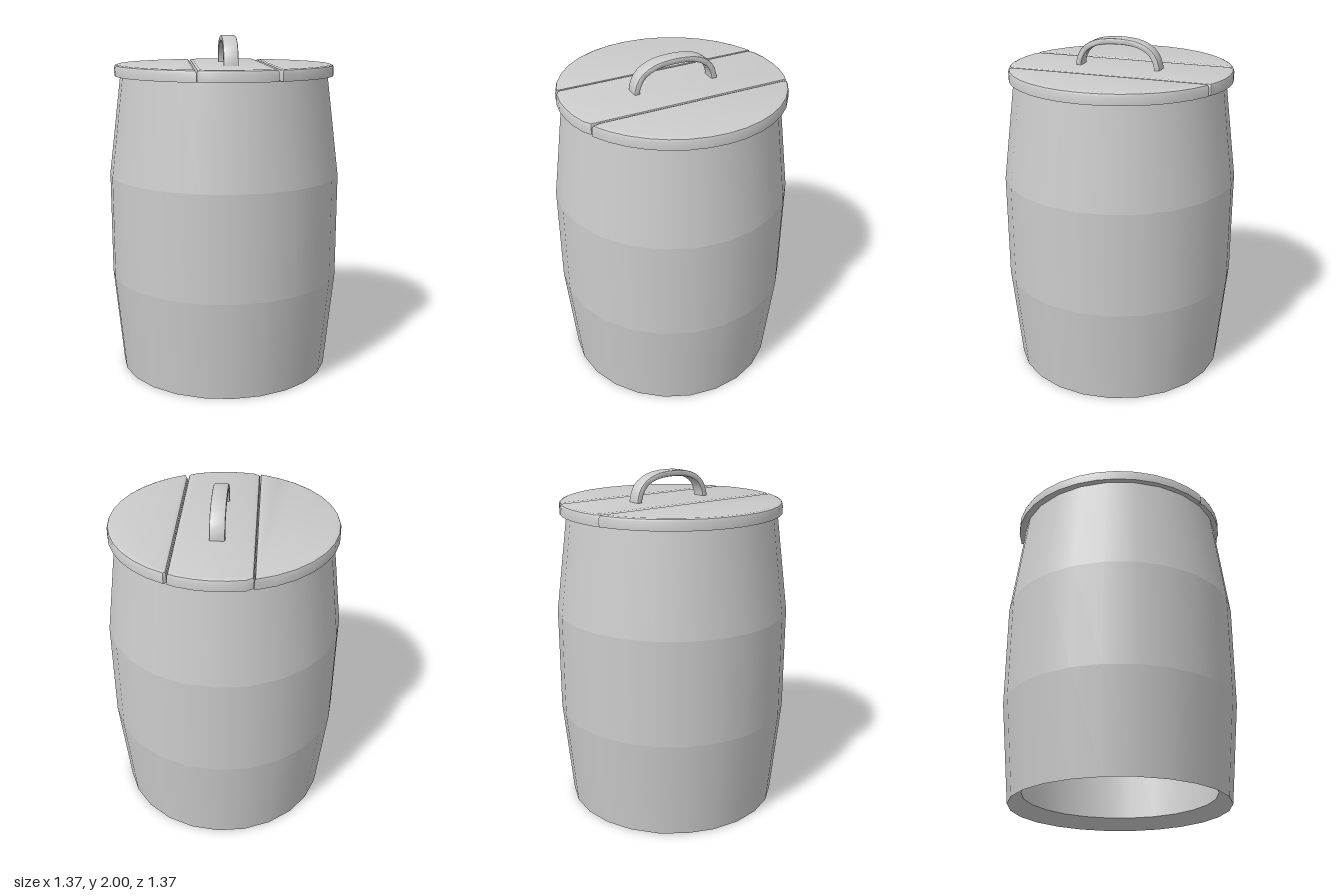
import * as THREE from 'three';
import { mergeGeometries, toCreasedNormals } from 'three/addons/utils/BufferGeometryUtils.js';

const material = new THREE.MeshStandardMaterial({ color: 0xcccccc });

function addMesh(parent, name, geometry) {
  const mesh = new THREE.Mesh(geometry, material);
  mesh.name = name;
  parent.add(mesh);
}

// Hollow body: closed [radius, y] profile, smooth around, creased between bands
function bodyGeometry() {
  const profile = [
    [0.63, 0], [0.685, 0.58], [0.685, 1.19], [0.61, 1.775],
    [0.55, 1.765], [0.62, 1.19], [0.62, 0.58], [0.555, 0.065],
  ].map(([r, y]) => new THREE.Vector2(r, y));
  const bands = profile.map((p, i) =>
    new THREE.LatheGeometry([p, profile[(i + 1) % profile.length]], 24));
  return mergeGeometries(bands);
}

// Lid board: outline in (x, -z), square underside, bevelled top edge
function plankGeometry(outline) {
  const bevel = 0.018;
  const geometry = new THREE.ExtrudeGeometry(new THREE.Shape(outline), {
    depth: 0.065 - bevel, bevelThickness: bevel, bevelSize: bevel,
    bevelOffset: -bevel, bevelSegments: 2,
  });
  const pos = geometry.attributes.position;
  for (let i = 0; i < pos.count; i++) pos.setZ(i, Math.max(0, pos.getZ(i)));
  geometry.rotateX(-Math.PI / 2).translate(0, 1.77, 0);
  return toCreasedNormals(geometry, 0.6);
}

// Points on a circle between two angles
function arc(radius, from, to, steps, cy = 0.008) {
  return Array.from({ length: steps + 1 }, (_, i) => {
    const a = from + (to - from) * i / steps;
    return new THREE.Vector2(radius * Math.cos(a), cy + radius * Math.sin(a));
  });
}

// Arched handle: a ribbon around a curve, extruded across its width
function handleGeometry() {
  const half = [[0.236, 1.82], [0.232, 1.865], [0.2, 1.925], [0.13, 1.967], [0, 1.983]];
  const points = [...half, ...half.slice(0, -1).reverse().map(([x, y]) => [-x, y])];
  const curve = new THREE.CatmullRomCurve3(points.map(([x, y]) => new THREE.Vector3(x, y, 0)));
  const side = (offset) => Array.from({ length: 21 }, (_, i) => {
    const p = curve.getPointAt(i / 20), t = curve.getTangentAt(i / 20);
    return new THREE.Vector2(p.x + t.y * offset, p.y - t.x * offset);
  });
  const bevel = 0.008, width = 0.085;
  const geometry = new THREE.ExtrudeGeometry(
    new THREE.Shape([...side(-0.017), ...side(0.017).reverse()]), {
      depth: width - 2 * bevel, bevelThickness: bevel, bevelSize: bevel,
      bevelOffset: -bevel, bevelSegments: 2,
    });
  geometry.rotateY(Math.PI / 2).translate(-0.02 + bevel, 0, -0.005);
  return toCreasedNormals(geometry, 0.7);
}

export function createModel() {
  const model = new THREE.Group();
  model.name = 'barrel';
  addMesh(model, 'barrelBody', bodyGeometry());

  // Lid of three slightly uneven boards
  const lid = new THREE.Group();
  lid.name = 'lid';
  model.add(lid);
  const R = 0.645, turn = Math.PI;
  const rightCut = Math.acos(-0.187 / R), leftCut = Math.acos(0.252 / R);
  addMesh(lid, 'rightLidBoard', plankGeometry(arc(R, rightCut, 2 * turn - rightCut, 14)));

  // Middle board with clipped corners
  const top = arc(0.645, leftCut + 0.08, rightCut - 0.06, 4);
  const bottom = arc(0.645, -rightCut + 0.06, -leftCut - 0.08, 4);
  addMesh(lid, 'middleLidBoard', plankGeometry([
    new THREE.Vector2(0.25, 0.6), ...top, new THREE.Vector2(-0.185, 0.61),
    new THREE.Vector2(-0.185, -0.595), ...bottom, new THREE.Vector2(0.25, -0.575),
  ]));

  // Left board, its front corner cut back
  addMesh(lid, 'leftLidBoard', plankGeometry([
    new THREE.Vector2(0.254, 0.58), new THREE.Vector2(0.254, -0.535),
    ...arc(R, -leftCut + 0.03, leftCut - 0.03, 14),
  ]));

  addMesh(lid, 'handle', handleGeometry());
  return model;
}
